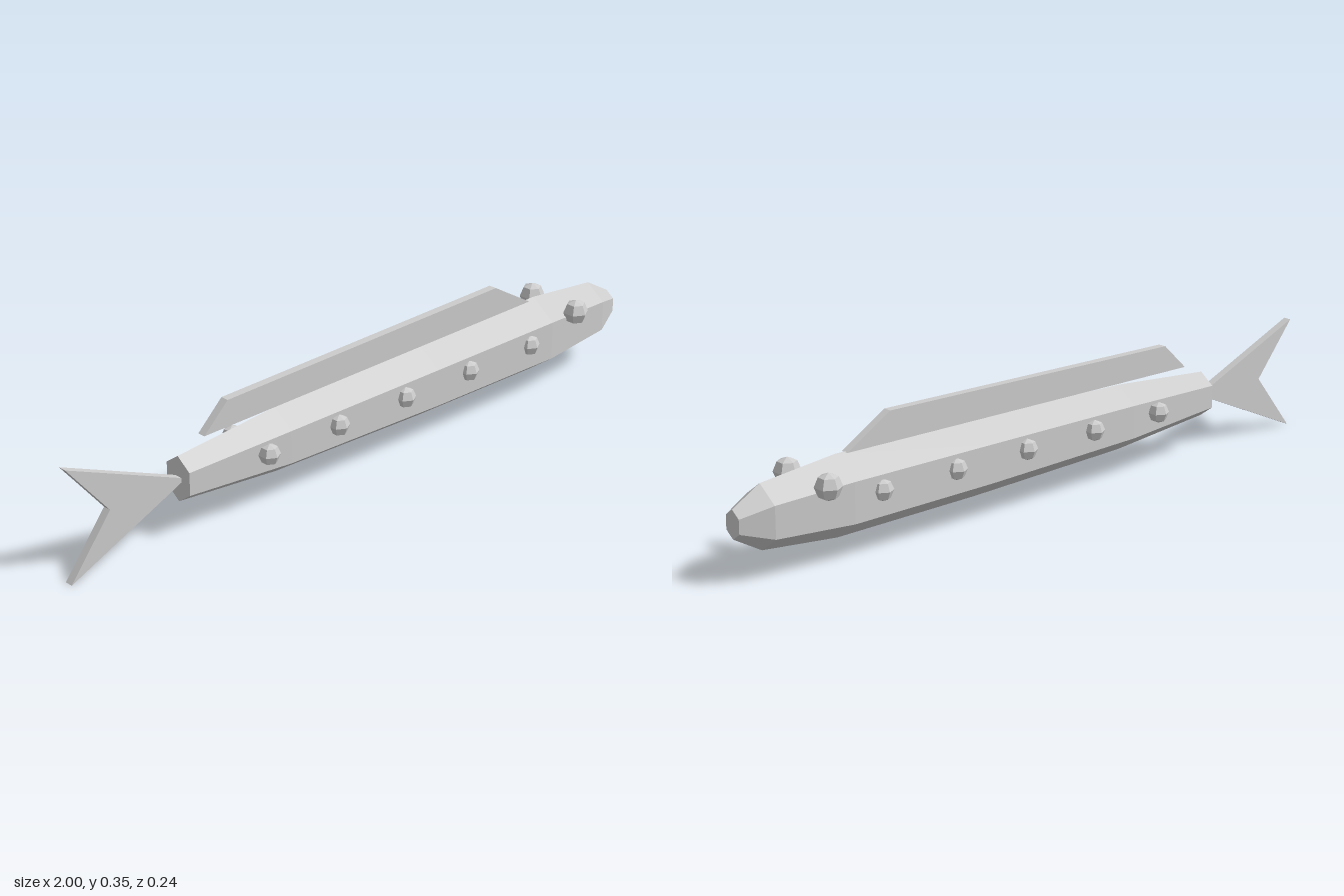
import * as THREE from 'three';

const material = new THREE.MeshStandardMaterial({ color: 0xcccccc, flatShading: true });

// Hexagonal body lofted through stations of [x, centre height, radius]
function hullGeometry(stations, sides = 6, zScale = 0.8) {
  const positions = [];
  const corner = ([x, y, r], i) => {
    const a = (i / sides) * Math.PI * 2;
    return [x, y + Math.cos(a) * r, Math.sin(a) * r * zScale];
  };
  const tri = (a, b, c) => positions.push(...a, ...b, ...c);
  for (let s = 0; s < stations.length - 1; s++) {
    for (let i = 0; i < sides; i++) {
      const a = corner(stations[s], i), b = corner(stations[s + 1], i);
      const c = corner(stations[s + 1], i + 1), d = corner(stations[s], i + 1);
      tri(a, c, b);
      tri(a, d, c);
    }
  }
  // Flat end caps
  const first = stations[0], last = stations[stations.length - 1];
  for (let i = 0; i < sides; i++) {
    tri([first[0], first[1], 0], corner(first, i + 1), corner(first, i));
    tri([last[0], last[1], 0], corner(last, i), corner(last, i + 1));
  }
  const geometry = new THREE.BufferGeometry();
  geometry.setAttribute('position', new THREE.Float32BufferAttribute(positions, 3));
  geometry.computeVertexNormals();
  return geometry;
}

// Thin plate cut from an outline in the x-y plane
function finGeometry(points, thickness = 0.024) {
  const shape = new THREE.Shape(points.map(([x, y]) => new THREE.Vector2(x, y)));
  return new THREE.ExtrudeGeometry(shape, { depth: thickness, bevelEnabled: false })
    .translate(0, 0, -thickness / 2);
}

export function createModel() {
  const group = new THREE.Group();
  const add = (name, geometry, x = 0, y = 0, z = 0) => {
    const mesh = new THREE.Mesh(geometry, material);
    mesh.name = name;
    mesh.position.set(x, y, z);
    group.add(mesh);
  };

  // Body, tail end to snout
  add('body', hullGeometry([
    [-0.64, 0.165, 0.065],
    [-0.31, 0.163, 0.094],
    [0.22, 0.162, 0.108],
    [0.68, 0.162, 0.112],
    [0.915, 0.162, 0.088],
    [1, 0.162, 0.039],
  ]));

  // Fins
  add('dorsalFin', finGeometry([[-0.56, 0.262], [0.65, 0.272], [0.51, 0.355], [-0.48, 0.338]]));
  add('tailFin', finGeometry([[-0.625, 0.165], [-1, 0.322], [-0.87, 0.165], [-1, 0]]));

  // Eyes and a row of side bumps on each flank
  const eye = new THREE.SphereGeometry(0.037, 6, 4).rotateY(Math.PI / 2);
  const bump = new THREE.SphereGeometry(0.03, 6, 4).rotateY(Math.PI / 2);
  for (const side of [1, -1]) {
    const label = side > 0 ? 'Front' : 'Back';
    add('eye' + label, eye, 0.768, 0.228, side * 0.085);
    for (let i = 0; i < 5; i++) {
      add('sideBump' + label + (i + 1), bump, -0.395 + i * 0.246, 0.176, side * 0.074);
    }
  }
  return group;
}
